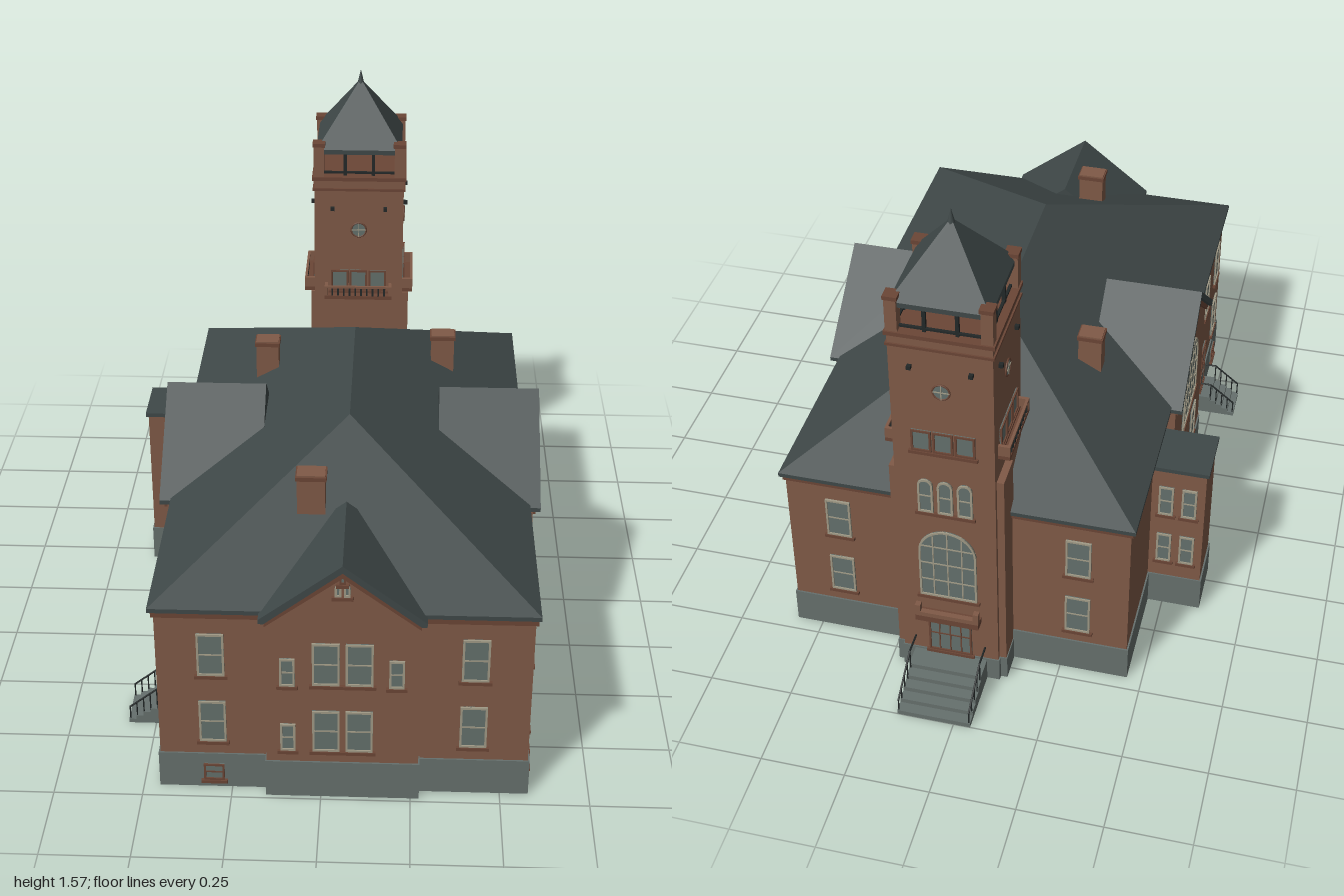
import * as THREE from 'three';

const mat = (name, color) => {
  const m = new THREE.MeshStandardMaterial({ color });
  m.name = name;
  return m;
};

export function createModel() {
  const brick = mat('brick', 0x805a47), darkBrick = mat('dark brick', 0x6b4636);
  const roof = mat('slate roof', 0x3f4848), stone = mat('stone', 0x66706d);
  const glass = mat('glass', 0x64706c), trim = mat('cream trim', 0xa09a86);
  const iron = mat('dark iron', 0x232828);
  const model = new THREE.Group();

  const add = (parent, name, geo, material) => {
    const m = new THREE.Mesh(geo, material);
    m.name = name;
    parent.add(m);
    return m;
  };
  // Box given by its min and max corners
  const box = (p, name, material, x0, x1, y0, y1, z0, z1) => {
    const m = add(p, name, new THREE.BoxGeometry(x1 - x0, y1 - y0, z1 - z0), material);
    m.position.set((x0 + x1) / 2, (y0 + y1) / 2, (z0 + z1) / 2);
    return m;
  };
  const group = (name, x, z, turn, parent = model) => {
    const g = new THREE.Group();
    g.name = name;
    g.position.set(x, 0, z);
    g.rotation.y = turn;
    parent.add(g);
    return g;
  };
  const prism = (p, name, material, pts, z0, z1) => {
    const s = new THREE.Shape(pts.map(([x, y]) => new THREE.Vector2(x, y)));
    const m = add(p, name, new THREE.ExtrudeGeometry(s, { depth: z1 - z0, bevelEnabled: false }), material);
    m.position.z = z0;
    return m;
  };
  const bar = (p, name, a, b, r, material) => {
    const va = new THREE.Vector3(...a), vb = new THREE.Vector3(...b);
    const m = add(p, name, new THREE.CylinderGeometry(r, r, va.distanceTo(vb), 6), material);
    m.position.copy(va).add(vb).multiplyScalar(0.5);
    m.quaternion.setFromUnitVectors(new THREE.Vector3(0, 1, 0), vb.sub(va).normalize());
  };

  // Window outline, square or round-headed, shrunk by d
  const outline = (w, h, arch, d, Kind) => {
    const s = new Kind(), r = w / 2 - d;
    s.moveTo(-r, d);
    s.lineTo(r, d);
    if (arch) s.absarc(0, h - w / 2, r, 0, Math.PI, false);
    else { s.lineTo(r, h - d); s.lineTo(-r, h - d); }
    s.closePath();
    return s;
  };
  // Framed window on a wall facing local +z
  const win = (p, x, y, w, h, { arch = false, cols = 1, rows = 2, frame = trim } = {}) => {
    const g = group('window', x, 0, 0, p);
    g.position.y = y;
    add(g, 'windowGlass', new THREE.ExtrudeGeometry(outline(w, h, arch, 0, THREE.Shape), { depth: 0.003, bevelEnabled: false }), glass);
    const ring = outline(w, h, arch, 0, THREE.Shape);
    ring.holes.push(outline(w, h, arch, 0.006, THREE.Path));
    add(g, 'windowFrame', new THREE.ExtrudeGeometry(ring, { depth: 0.007, bevelEnabled: false }), frame);
    for (let i = 1; i < cols; i++) {
      const bx = -w / 2 + (w * i) / cols;
      const top = arch ? h - w / 2 + Math.sqrt(w * w / 4 - bx * bx) : h;
      box(g, 'mullion', frame, bx - 0.002, bx + 0.002, 0, top, 0, 0.005);
    }
    for (let i = 1; i < rows; i++) {
      const by = (h * i) / rows, over = arch ? Math.max(0, by - h + w / 2) : 0;
      const half = Math.sqrt(w * w / 4 - over * over);
      box(g, 'glazingBar', frame, -half, half, by - 0.002, by + 0.002, 0, 0.005);
    }
    box(g, 'windowSill', darkBrick, -w / 2 - 0.008, w / 2 + 0.008, -0.01, 0, 0, 0.01);
  };
  const column = (p, x) => [0.16, 0.385].forEach(y => win(p, x, y, 0.075, 0.137));
  const basement = (p, x) => win(p, x, 0.027, 0.058, 0.055, { frame: darkBrick });

  // Main block
  box(model, 'mainWalls', brick, -0.45, 0.575, 0.115, 0.597, -0.7, 0.95);
  box(model, 'stoneBase', stone, -0.455, 0.58, 0, 0.115, -0.705, 0.955);
  box(model, 'corniceBand', darkBrick, -0.457, 0.582, 0.575, 0.597, -0.707, 0.957);
  box(model, 'eaves', roof, -0.465, 0.588, 0.597, 0.61, -0.72, 0.968);

  // Hipped roof
  const A = [-0.465, 0.61, 0.968], B = [0.588, 0.61, 0.968], C = [0.588, 0.61, -0.72], D = [-0.465, 0.61, -0.72];
  const E = [0.06, 0.9, 0.4], F = [0.06, 0.9, -0.16];
  const hip = new THREE.BufferGeometry();
  hip.setAttribute('position', new THREE.Float32BufferAttribute(
    [A, B, E, B, C, F, B, F, E, C, D, F, D, A, E, D, E, F].flat(), 3));
  hip.computeVertexNormals();
  add(model, 'hipRoof', hip, roof);

  // Projecting gabled bay facing local +z: wall, stone base and pitched roof
  const bay = (g, hw, peak, inner, wall, over) => {
    const e = 0.6, ow = hw + 0.015;
    prism(g, 'bayWall', brick, [[-hw, 0.115], [hw, 0.115], [hw, e], [0, peak - 0.02], [-hw, e]], wall - 0.08, wall);
    box(g, 'bayBase', stone, -hw - 0.004, hw + 0.004, 0, 0.12, wall - 0.08, wall + 0.005);
    prism(g, 'gableRoof', roof, [[-ow, e - 0.008], [-hw, e - 0.008], [0, peak - 0.022], [hw, e - 0.008], [ow, e - 0.008], [ow, e + 0.005], [0, peak], [-ow, e + 0.005]], inner, over);
    prism(g, 'gableBack', roof, [[-hw, e - 0.008], [hw, e - 0.008], [0, peak - 0.02]], inner, wall - 0.04);
    prism(g, 'rakeMoulding', darkBrick, [[-hw, e - 0.025], [0, peak - 0.045], [hw, e - 0.025], [hw, e - 0.008], [0, peak - 0.022], [-hw, e - 0.008]], wall, wall + 0.008);
  };

  // Front
  const frontBay = group('frontBay', 0.06, 0, 0);
  bay(frontBay, 0.21, 0.78, 0.68, 0.982, 1);
  const frontFace = group('frontBayWindows', 0.06, 0.982, 0);
  [-0.045, 0.046].forEach(x => column(frontFace, x));
  [[-0.15, 0.16], [-0.15, 0.38], [0.147, 0.38]].forEach(([x, y]) => win(frontFace, x, y, 0.042, 0.09));
  [-0.012, 0.012].forEach(x => win(frontFace, x, 0.675, 0.018, 0.035, { arch: true, rows: 1 }));
  win(frontFace, 0, 0.715, 0.018, 0.025, { arch: true, rows: 1, frame: darkBrick });
  const front = group('frontWindows', 0, 0.95, 0);
  [-0.3, 0.42].forEach(x => column(front, x));
  const frontBase = group('frontBasementWindows', 0, 0.955, 0);
  basement(frontBase, -0.3);

  // Both long sides
  for (const s of [1, -1]) {
    const side = s > 0 ? 'left' : 'right', turn = s * Math.PI / 2;
    const cx = s > 0 ? 0 : 0.12; // mirror about the ridge line x = 0.06
    const b = group(side + 'Bay', cx, 0.123, turn);
    bay(b, 0.275, 0.845, 0.32, 0.597, 0.618);
    const f = group(side + 'BayWindows', cx + s * 0.597, 0.123, turn);
    win(f, 0, 0.38, 0.238, 0.255, { arch: true, cols: 5, rows: 4 });
    [-0.112, 0.112].forEach(x => win(f, x, 0.16, 0.075, 0.135));
    [-0.028, 0, 0.028].forEach(x => win(f, x, 0.73, 0.022, 0.04, { arch: true, rows: 1, frame: darkBrick }));
    const fb = group(side + 'BayBasement', cx + s * 0.602, 0.123, turn);
    [-0.112, 0.112].forEach(x => basement(fb, x));
    const w = group(side + 'Windows', s > 0 ? 0.575 : -0.45, 0, turn);
    (s > 0 ? [0.835, 0.675, 0.485, -0.205, -0.395, -0.555] : [0.835, 0.485]).forEach(z => column(w, -s * z));
    const wb = group(side + 'Basement', s > 0 ? 0.58 : -0.455, 0, turn);
    (s > 0 ? [0.84, 0.485, -0.395] : [0.84, 0.485]).forEach(z => basement(wb, -s * z));
    if (s < 0) {
      win(w, 0.625, 0.385, 0.075, 0.137);
      win(w, 0.625, 0.07, 0.08, 0.17, { cols: 2, frame: darkBrick });
    }
  }
  const back = group('backWindows', 0, -0.7, Math.PI);
  [0.3, -0.42].forEach(x => column(back, x));

  // Annex on the right side
  box(model, 'annexWalls', brick, -0.612, -0.45, 0.115, 0.545, -0.37, -0.205);
  box(model, 'annexBase', stone, -0.617, -0.45, 0, 0.115, -0.374, -0.2);
  box(model, 'annexRoof', roof, -0.62, -0.45, 0.543, 0.556, -0.378, -0.198);
  const annexBack = group('annexWindows', -0.53, -0.37, Math.PI);
  [-0.035, 0.035].forEach(x => [0.18, 0.37].forEach(y => win(annexBack, x, y, 0.045, 0.11)));

  // Chimneys
  for (const [x, z, w, d, y0, y1] of [[0.335, -0.225, 0.072, 0.052, 0.65, 0.855], [-0.215, -0.163, 0.07, 0.056, 0.65, 0.855], [-0.037, 0.67, 0.078, 0.056, 0.7, 0.87]]) {
    box(model, 'chimney', brick, x - w / 2, x + w / 2, y0, y1, z - d / 2, z + d / 2);
    box(model, 'chimneyCap', darkBrick, x - w / 2 - 0.004, x + w / 2 + 0.004, y1 - 0.016, y1 - 0.004, z - d / 2 - 0.004, z + d / 2 + 0.004);
  }

  // Bell tower
  const tower = group('tower', 0.06, -0.655, 0), T = 0.144;
  const ringBox = (name, m, r, y0, y1) => box(tower, name, m, -r, r, y0, y1, -r, r);
  ringBox('towerShaft', brick, T, 0.08, 1.25);
  ringBox('towerBase', stone, T + 0.004, 0, 0.08);
  box(tower, 'lowerTower', brick, -0.165, 0.165, 0.08, 0.775, -0.13, -0.03);
  box(tower, 'lowerTowerBase', stone, -0.168, 0.168, 0, 0.08, -0.133, -0.03);
  ringBox('lowerBand', darkBrick, T + 0.005, 1.215, 1.223);
  ringBox('upperBand', darkBrick, T + 0.007, 1.25, 1.262);
  ringBox('belfryEaves', roof, 0.137, 1.335, 1.35);
  const spire = add(tower, 'towerRoof', new THREE.CylinderGeometry(0.008, 0.137 * Math.SQRT2, 0.185, 4, 1).toNonIndexed(), roof);
  spire.geometry.rotateY(Math.PI / 4);
  spire.geometry.computeVertexNormals();
  spire.position.y = 1.4425;
  add(tower, 'finial', new THREE.ConeGeometry(0.011, 0.045, 8), roof).position.y = 1.55;
  for (let i = 0; i < 4; i++) {
    const f = group('towerFace', 0, 0, i * Math.PI / 2, tower);
    box(f, 'belfryPier', brick, 0.113, T + 0.002, 1.26, 1.37, 0.113, T + 0.002);
    box(f, 'pierCap', darkBrick, 0.109, T + 0.005, 1.362, 1.374, 0.109, T + 0.005);
    box(f, 'belfryRail', iron, -0.115, 0.115, 1.268, 1.274, 0.122, 0.13);
    [-0.045, 0.045].forEach(x => box(f, 'belfryPost', iron, x - 0.005, x + 0.005, 1.26, 1.34, 0.12, 0.13));
    [-0.085, 0.085].forEach(x => box(f, 'wallAnchor', iron, x - 0.006, x + 0.006, 1.148, 1.16, T, T + 0.012));
    // Round window
    const disc = add(f, 'roundWindow', new THREE.CylinderGeometry(0.024, 0.024, 0.006, 24), glass);
    disc.rotation.x = Math.PI / 2;
    disc.position.set(0, 1.08, T);
    add(f, 'roundFrame', new THREE.TorusGeometry(0.024, 0.003, 6, 24), darkBrick).position.set(0, 1.08, T + 0.002);
    box(f, 'roundMullion', trim, -0.0015, 0.0015, 1.056, 1.104, T, T + 0.005);
    box(f, 'roundBar', trim, -0.024, 0.024, 1.0785, 1.0815, T, T + 0.005);
    const g = group('towerWindows', 0, T, 0, f);
    [-0.062, 0, 0.062].forEach(x => win(g, x, 0.865, 0.057, 0.072, { rows: 1, frame: darkBrick }));
    if (i === 2) continue;
    // Balcony
    box(g, 'balconyFloor', darkBrick, -0.11, 0.11, 0.845, 0.857, 0, 0.034);
    box(g, 'balconyRail', brick, -0.11, 0.11, 0.884, 0.891, 0.026, 0.034);
    for (let k = 0; k < 12; k++) {
      const x = -0.104 + k * 0.0189;
      box(g, 'baluster', iron, x - 0.003, x + 0.003, 0.857, 0.884, 0.027, 0.033);
    }
    [-0.105, 0.105].forEach(x => box(g, 'balconyEnd', brick, x - 0.005, x + 0.005, 0.857, 0.891, 0, 0.034));
  }

  // Tower entrance
  const entry = group('entrance', 0.06, -0.799, Math.PI);
  [-0.057, 0, 0.057].forEach(x => win(entry, x, 0.64, 0.044, 0.12, { arch: true }));
  win(entry, 0, 0.31, 0.17, 0.26, { arch: true, cols: 4, rows: 4 });
  win(entry, 0, 0.085, 0.13, 0.14, { cols: 4, rows: 2, frame: darkBrick });
  box(entry, 'doorHood', darkBrick, -0.095, 0.095, 0.23, 0.25, 0, 0.036);
  box(entry, 'hoodParapet', brick, -0.095, 0.095, 0.25, 0.265, 0.02, 0.036);
  [-0.087, 0.087].forEach(x => box(entry, 'hoodPost', brick, x - 0.008, x + 0.008, 0.25, 0.29, 0.018, 0.036));

  // Steps with railings, descending along local +z
  const stairs = (g, half, landing, run, top, n) => {
    box(g, 'landing', stone, -half, half, 0, top, -0.01, landing);
    for (let k = 1; k < n; k++) {
      const z = landing + (run * (k - 1)) / (n - 1);
      box(g, 'step', stone, -half, half, 0, top * (1 - k / n), z - 0.005, z + run / (n - 1));
    }
    const end = landing + run - 0.004;
    for (const x of [-half + 0.004, half - 0.004]) {
      bar(g, 'landingRail', [x, top + 0.055, 0.005], [x, top + 0.055, landing], 0.003, iron);
      bar(g, 'handrail', [x, top + 0.055, landing], [x, 0.055, end], 0.003, iron);
      for (let k = 0; k <= 4; k++) {
        const t = k / 4, y = top * (1 - t);
        bar(g, 'railPost', [x, y * 0.8, landing + t * (end - landing)], [x, y + 0.055, landing + t * (end - landing)], 0.002, iron);
      }
    }
  };
  stairs(group('entranceSteps', 0.06, -0.8, Math.PI), 0.11, 0.07, 0.13, 0.075, 5);
  stairs(group('sideSteps', -0.455, 0.625, -Math.PI / 2), 0.058, 0.04, 0.085, 0.065, 5);

  return model;
}
